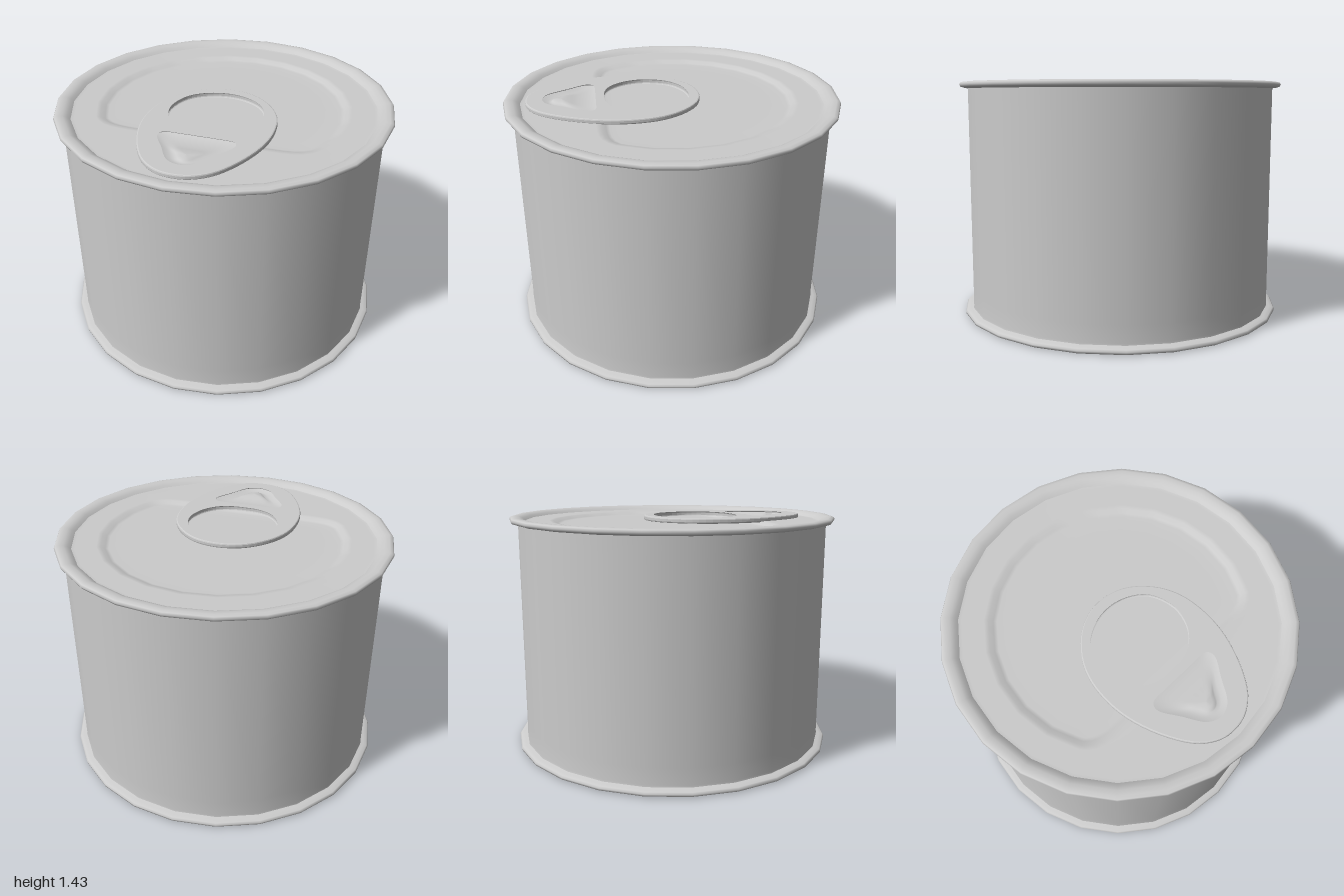
import * as THREE from 'three';

const SIDES = 24;
const material = new THREE.MeshStandardMaterial({ color: 0xcccccc, side: THREE.DoubleSide });

function addMesh(group, name, geometry) {
  const mesh = new THREE.Mesh(geometry, material);
  mesh.name = name;
  group.add(mesh);
}

// Turned part from [radius, y] pairs
function turned(profile) {
  return new THREE.LatheGeometry(profile.map(([r, y]) => new THREE.Vector2(r, y)), SIDES);
}

// Upward-facing skin between closed rings, ordered from outside to inside
function loft(rings) {
  const n = rings[0].length;
  const index = [];
  for (let k = 0; k < rings.length - 1; k++) {
    for (let i = 0; i < n; i++) {
      const a = k * n + i, b = k * n + (i + 1) % n;
      index.push(a, b, a + n, b, b + n, a + n);
    }
  }
  const geometry = new THREE.BufferGeometry().setFromPoints(rings.flat());
  geometry.setIndex(index);
  geometry.computeVertexNormals();
  return geometry;
}

// Closed smooth outline in (x, z) from its right half, mirrored in x
function mirroredOutline(half, count) {
  const other = half.slice(1, -1).reverse().map(([x, z]) => [-x, z]);
  const points = [...half, ...other].map(([x, z]) => new THREE.Vector3(x, 0, z));
  return new THREE.CatmullRomCurve3(points, true).getPoints(count).slice(0, -1);
}

const flat = (outline) => outline.map((p) => new THREE.Vector2(p.x, p.z));

// Ring following the can's polygon, optionally cut straight across the front
function lidRing(radius, y, cut = Infinity) {
  const ring = [];
  const step = (2 * Math.PI) / SIDES;
  for (let i = 0; i < SIDES * 4; i++) {
    const a = (i / (SIDES * 4)) * 2 * Math.PI;
    let r = radius * Math.cos(step / 2) / Math.cos((a % step) - step / 2);
    const c = Math.cos(a);
    // Soft minimum rounds the corners where the cut meets the circle
    if (c > 0 && cut < radius) r = Math.pow(Math.pow(r, -16) + Math.pow(cut / c, -16), -1 / 16);
    ring.push(new THREE.Vector3(Math.sin(a) * r, y, c * r));
  }
  return ring;
}

function createTab() {
  const tab = new THREE.Group();
  tab.name = 'pullTab';
  const top = 1.43;

  const outer = mirroredOutline([[0, 0.87], [0.09, 0.855], [0.19, 0.79], [0.28, 0.66], [0.355, 0.47],
    [0.378, 0.3], [0.355, 0.12], [0.28, -0.02], [0.15, -0.13], [0, -0.165]], 72);
  const finger = mirroredOutline([[0, 0.415], [0.09, 0.408], [0.18, 0.37], [0.255, 0.28],
    [0.285, 0.15], [0.235, 0], [0.13, -0.08], [0, -0.108]], 56);
  const dent = mirroredOutline([[0, 0.78], [0.08, 0.75], [0.16, 0.63], [0.23, 0.51],
    [0.21, 0.46], [0.1, 0.45], [0, 0.45]], 48);

  // Plate with a finger hole and an opening for the pressed dent
  const shape = new THREE.Shape(flat(outer));
  shape.holes.push(new THREE.Path(flat(finger)), new THREE.Path(flat(dent)));
  const bevel = 0.008;
  const plate = new THREE.ExtrudeGeometry(shape, {
    depth: 0.014, bevelThickness: bevel, bevelSize: bevel, bevelOffset: -bevel, bevelSegments: 2,
  });
  plate.rotateX(Math.PI / 2).translate(0, top - bevel, 0);
  addMesh(tab, 'tabPlate', plate);

  // Pressed dent with a rivet dome: [scale, y, centre z]
  const rings = [[1.04, 1.425, 0.6], [0.9, 1.418, 0.6], [0.72, 1.412, 0.61], [0.5, 1.412, 0.63],
    [0.36, 1.42, 0.65], [0.2, 1.426, 0.66], [0, 1.428, 0.66]];
  addMesh(tab, 'tabDent', loft(rings.map(([s, y, z]) =>
    dent.map((p) => new THREE.Vector3(p.x * s, y, z + (p.z - 0.6) * s)))));
  return tab;
}

export function createModel() {
  const can = new THREE.Group();
  can.name = 'can';

  // Wall and seams
  addMesh(can, 'wall', turned([[0.955, 0.03], [0.95, 0.05], [0.95, 0.15], [0.95, 1.34], [0.95, 1.4]]));
  addMesh(can, 'bottomRim', turned([[0.93, 0.012], [0.945, 0.003], [0.965, 0], [0.985, 0.001],
    [0.998, 0.008], [1, 0.02], [0.992, 0.03], [0.97, 0.035], [0.945, 0.042]]));
  addMesh(can, 'base', turned([[0, 0.012], [0.9, 0.012], [0.93, 0.012]]));
  addMesh(can, 'topRim', turned([[0.945, 1.395], [0.975, 1.399], [0.993, 1.405], [1, 1.418],
    [0.994, 1.43], [0.975, 1.435], [0.945, 1.433], [0.92, 1.422], [0.9, 1.405]]));

  // Lid with a sunken panel, straight across the front
  addMesh(can, 'lid', loft([
    lidRing(0.905, 1.408), lidRing(0.885, 1.405), lidRing(0.76, 1.406, 0.47),
    lidRing(0.735, 1.404, 0.44), lidRing(0.71, 1.39, 0.415), lidRing(0.69, 1.386, 0.395),
    lidRing(0.6, 1.386, 0.34), lidRing(0, 1.386),
  ]));

  can.add(createTab());
  return can;
}
